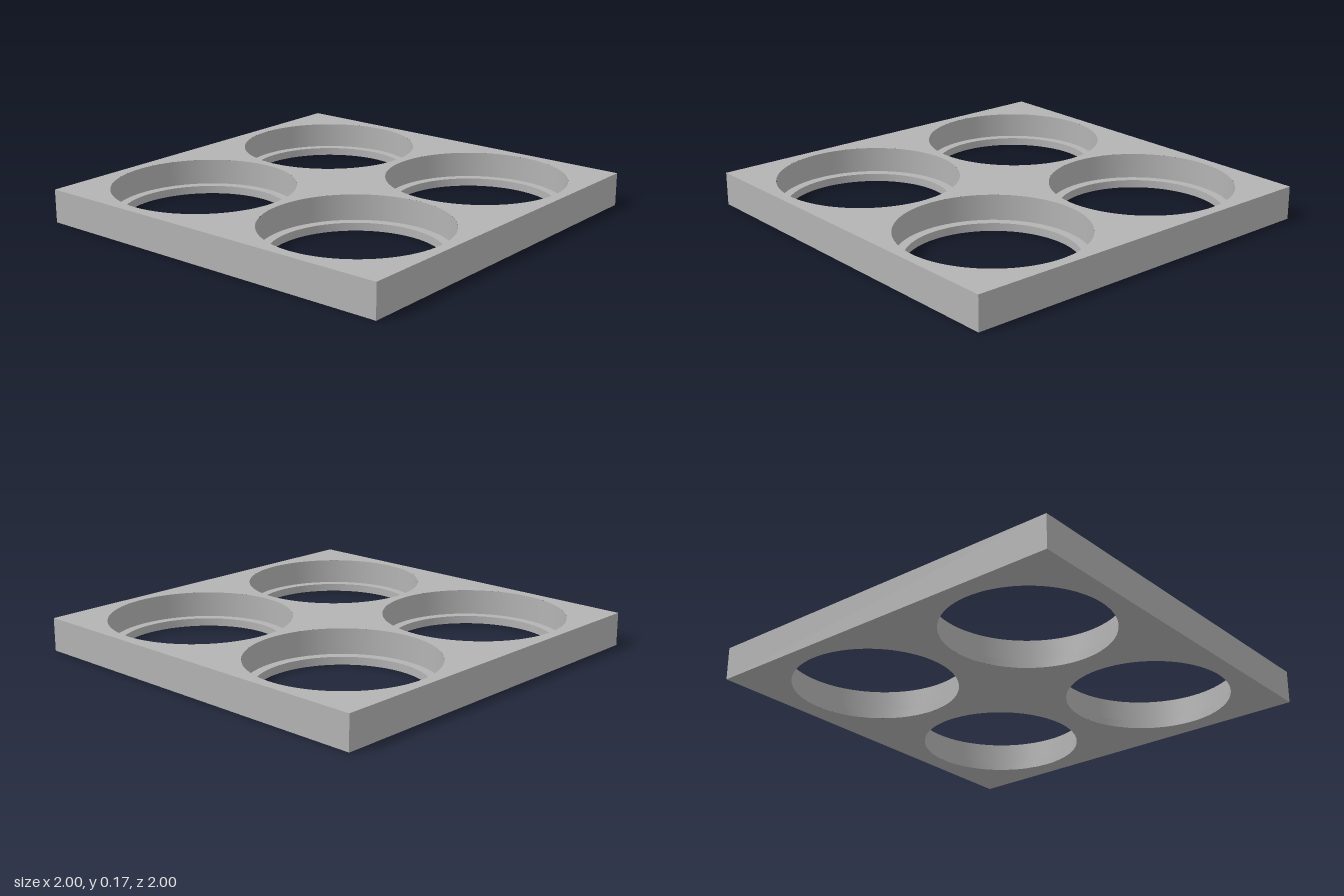
import * as THREE from 'three';

const HEIGHT = 0.17, LEDGE = 0.04;       // plate thickness, ledge height
const PITCH = 0.484, R_TOP = 0.46, R_BOTTOM = 0.413;
const SEGMENTS = 96;

export function createModel() {
  const model = new THREE.Group();
  const grey = new THREE.MeshStandardMaterial({ color: 0xb3b3b3 });
  grey.name = 'plain grey';

  const add = (name, geometry, parent = model) => {
    const mesh = new THREE.Mesh(geometry, grey);
    mesh.name = name;
    parent.add(mesh);
    return mesh;
  };

  const centres = [-1, 1].flatMap(i => [-1, 1].map(j => [i * PITCH, j * PITCH]));

  // Square face pierced by four round holes
  const piercedFace = radius => {
    const shape = new THREE.Shape([[-1, -1], [1, -1], [1, 1], [-1, 1]].map(p => new THREE.Vector2(...p)));
    for (const [x, y] of centres) {
      shape.holes.push(new THREE.Path().absarc(x, y, radius, 0, Math.PI * 2, true));
    }
    return new THREE.ShapeGeometry(shape, SEGMENTS);
  };
  add('topFace', piercedFace(R_TOP).rotateX(-Math.PI / 2).translate(0, HEIGHT, 0));
  add('bottomFace', piercedFace(R_BOTTOM).rotateX(Math.PI / 2));

  // Outer sides
  for (let i = 0; i < 4; i++) {
    add('outerSide', new THREE.PlaneGeometry(2, HEIGHT).translate(0, HEIGHT / 2, 1).rotateY(i * Math.PI / 2));
  }

  // Stepped wells: wide upper wall, ledge, narrow lower wall (separate for sharp edges)
  const profile = [[R_TOP, HEIGHT], [R_TOP, LEDGE], [R_BOTTOM, LEDGE], [R_BOTTOM, 0]]
    .map(p => new THREE.Vector2(...p));
  const wellParts = ['upperWall', 'ledge', 'lowerWall']
    .map((name, i) => [name, new THREE.LatheGeometry(profile.slice(i, i + 2), SEGMENTS)]);
  for (const [x, z] of centres) {
    const well = new THREE.Group();
    well.name = 'well';
    well.position.set(x, 0, z);
    for (const [name, geometry] of wellParts) add(name, geometry, well);
    model.add(well);
  }
  return model;
}
